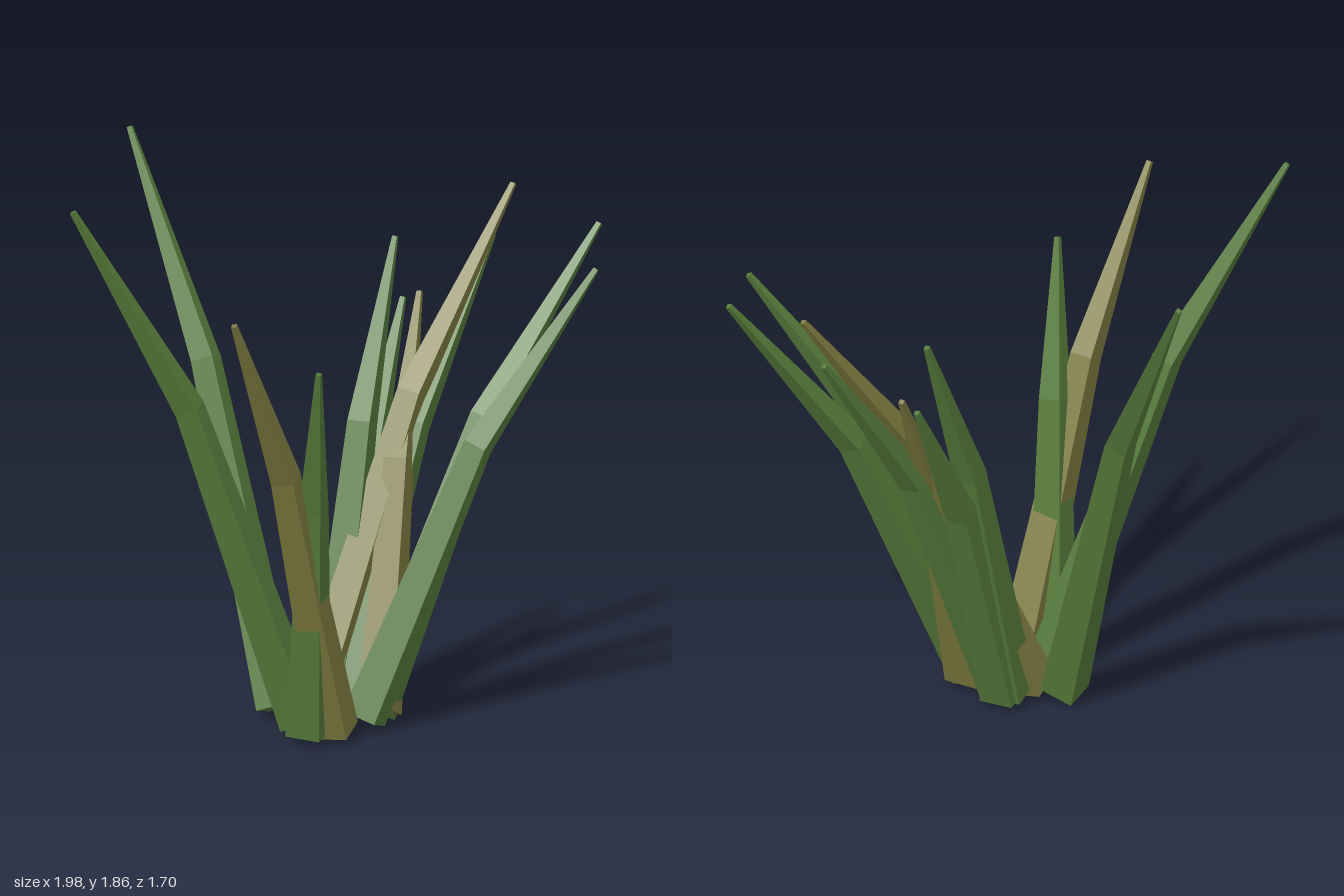
import * as THREE from 'three';

const green = new THREE.MeshStandardMaterial({ color: 0x557a3a, flatShading: true });
const olive = new THREE.MeshStandardMaterial({ color: 0x7e7c40, flatShading: true });

// base x, base z, tip x, tip y, tip z, material
const blades = [
  [-0.195, 0.285, -0.98, 1.83, 0.16, green],
  [-0.175, 0.06, -0.31, 1.85, -0.84, green],
  [-0.15, 0.455, -0.70, 1.555, 0.84, olive],
  [-0.245, 0.445, -0.363, 1.345, 0.785, green],
  [0.01, 0.335, 0.81, 1.525, 0.455, green],
  [0.08, 0.26, 0.98, 1.595, 0.11, green],
  [-0.08, 0.125, 0.82, 1.675, -0.23, olive],
  [0.02, 0.13, 0.75, 1.505, -0.24, green],
  [0.0, 0.09, 0.395, 1.53, -0.25, green],
  [0.03, 0.08, 0.44, 1.31, -0.285, green],
  [0.10, 0.26, 0.48, 1.335, -0.24, olive],
];
const radii = [0.085, 0.056, 0.012];
const up = new THREE.Vector3(0, 1, 0);

// Four-sided blade: base, bend and tip rings, each square to the stem direction
function bladeGeometry(base, tip) {
  const bend = new THREE.Vector3(
    THREE.MathUtils.lerp(base.x, tip.x, 0.49),
    THREE.MathUtils.lerp(base.y, tip.y, 0.61),
    THREE.MathUtils.lerp(base.z, tip.z, 0.49));
  const lower = bend.clone().sub(base).normalize();
  const upper = tip.clone().sub(bend).normalize();
  const centres = [base, bend, tip];
  const turns = [lower, lower.clone().add(upper).normalize(), upper]
    .map((d) => new THREE.Quaternion().setFromUnitVectors(up, d));

  const geometry = new THREE.CylinderGeometry(1, 1, 2, 4, 2);
  const position = geometry.attributes.position;
  const v = new THREE.Vector3();
  for (let i = 0; i < position.count; i++) {
    v.fromBufferAttribute(position, i);
    const ring = Math.round(v.y) + 1;
    v.setY(0).multiplyScalar(radii[ring]).applyQuaternion(turns[ring]).add(centres[ring]);
    position.setXYZ(i, v.x, v.y, v.z);
  }
  geometry.computeVertexNormals();
  return geometry;
}

export function createModel() {
  const group = new THREE.Group();
  group.name = 'grassTuft';
  blades.forEach(([bx, bz, tx, ty, tz, material], i) => {
    const blade = new THREE.Mesh(
      bladeGeometry(new THREE.Vector3(bx, 0.035, bz), new THREE.Vector3(tx, ty, tz)), material);
    blade.name = `blade${i + 1}`;
    group.add(blade);
  });
  return group;
}
